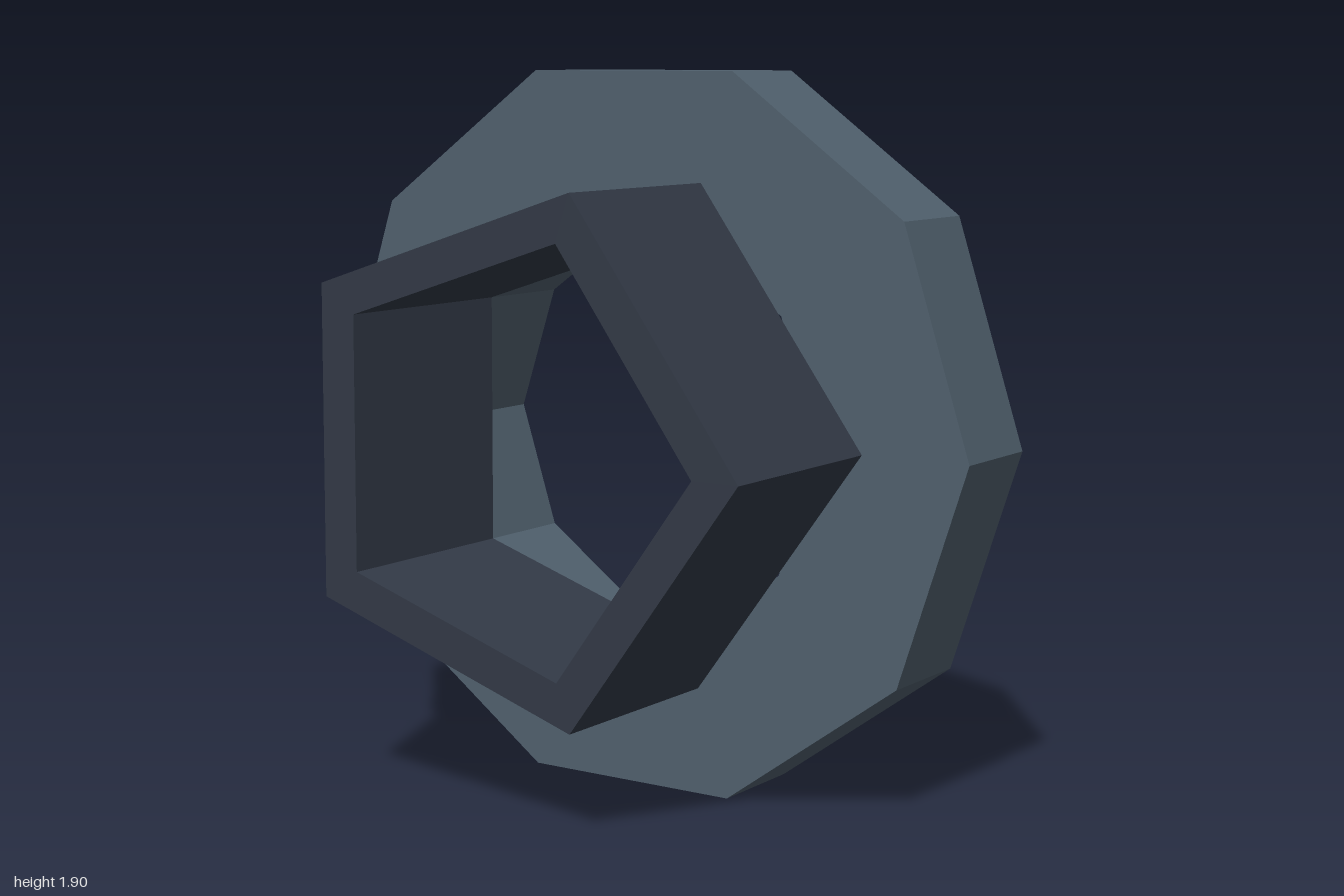
import * as THREE from 'three';

const CENTER_Y = 0.951;

// Corner points of a regular polygon with its first corner on +x
function polygon(sides, radius) {
  return Array.from({ length: sides }, (_, i) => {
    const a = (i / sides) * Math.PI * 2;
    return new THREE.Vector2(Math.cos(a) * radius, Math.sin(a) * radius);
  });
}

// Flat-sided ring running from zBack to zFront
function ring(name, sides, outer, inner, zBack, zFront, material) {
  const shape = new THREE.Shape(polygon(sides, outer));
  shape.holes.push(new THREE.Path(polygon(sides, inner).reverse()));
  const geometry = new THREE.ExtrudeGeometry(shape, {
    depth: zFront - zBack,
    bevelEnabled: false,
  });
  geometry.translate(0, CENTER_Y, zBack);
  const mesh = new THREE.Mesh(geometry, material);
  mesh.name = name;
  return mesh;
}

export function createModel() {
  const flangeMaterial = new THREE.MeshStandardMaterial({ color: 0x50606d });
  flangeMaterial.name = 'slate grey';
  const tubeMaterial = new THREE.MeshStandardMaterial({ color: 0x323946 });
  tubeMaterial.name = 'dark blue grey';

  const model = new THREE.Group();
  model.name = 'flangedTube';
  model.add(
    // Ten-sided flange at the back
    ring('flange', 10, 1, 0.57, -0.437, -0.146, flangeMaterial),
    // Five-sided tube standing forward from the flange
    ring('tube', 5, 0.7, 0.57, -0.146, 0.437, tubeMaterial),
  );
  return model;
}
